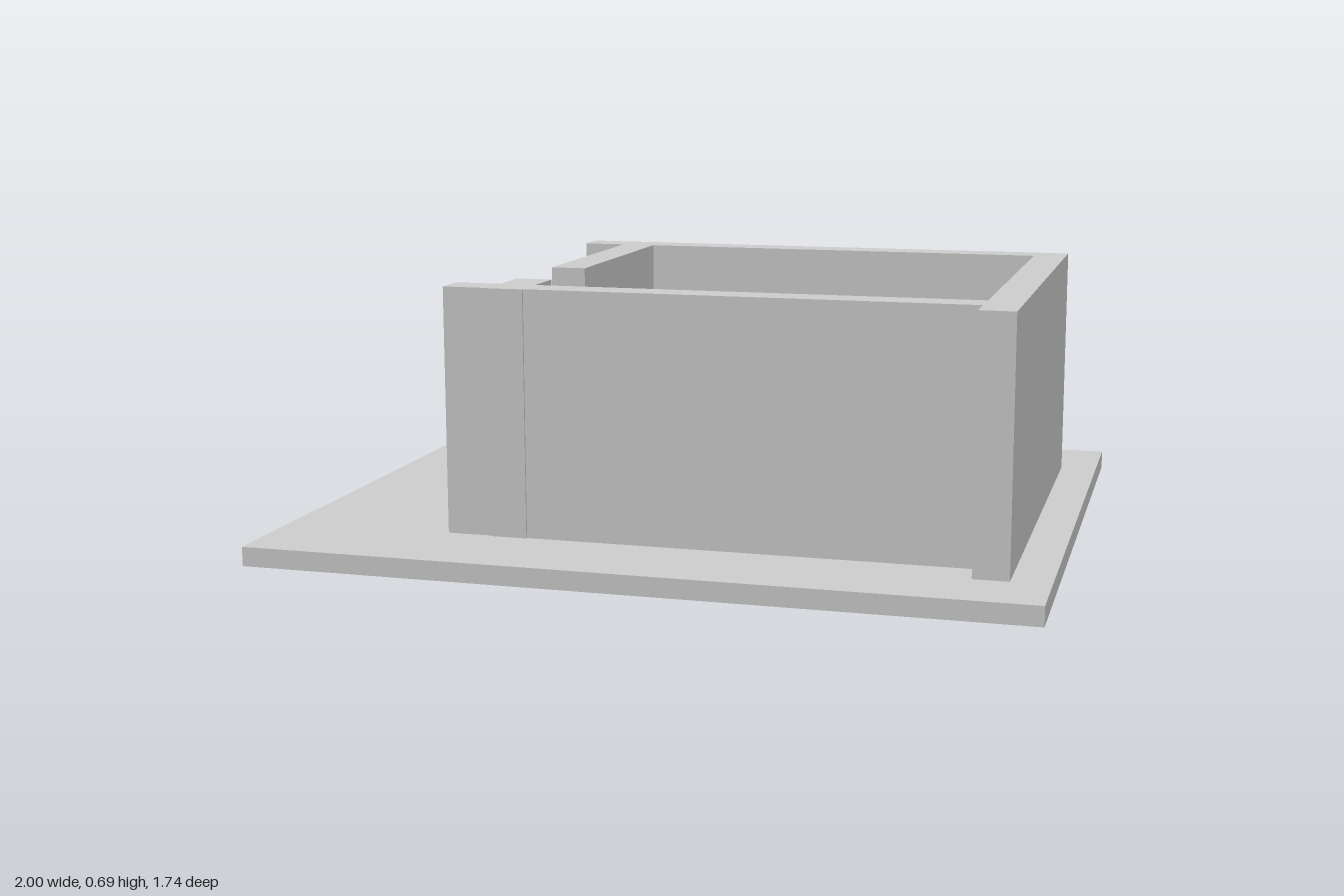
import * as THREE from 'three';

const FLOOR = 0.05, TOP = 0.69;
const material = new THREE.MeshStandardMaterial({ color: 0xcccccc, flatShading: true });

export function createModel() {
  const model = new THREE.Group();

  // Adds a box given by its extents on each axis
  const block = (name, [x0, x1], [z0, z1], y1 = TOP, y0 = FLOOR, parent = model) => {
    const mesh = new THREE.Mesh(new THREE.BoxGeometry(x1 - x0, y1 - y0, z1 - z0), material);
    mesh.position.set((x0 + x1) / 2, (y0 + y1) / 2, (z0 + z1) / 2);
    mesh.name = name;
    parent.add(mesh);
  };

  // Ground slab
  block('groundSlab', [-1, 1], [-0.87, 0.87], FLOOR, 0);

  // Walls, with an open-topped window on the -x side
  const walls = new THREE.Group();
  walls.name = 'walls';
  model.add(walls);
  const wall = (name, x, z, top = TOP) => block(name, x, z, top, FLOOR, walls);
  wall('backWall', [-0.555, 0.81], [-0.605, -0.515]);
  wall('sideWall', [0.81, 0.9], [-0.605, 0.69]);
  wall('frontWall', [-0.34, 0.81], [0.51, 0.6]);
  wall('frontWallEnd', [-0.555, -0.435], [0.51, 0.6]);
  wall('windowWallBack', [-0.435, -0.34], [-0.515, 0.125]);
  wall('windowSill', [-0.435, -0.34], [0.125, 0.39], 0.2);
  wall('windowWallFront', [-0.435, -0.34], [0.39, 0.605]);

  // Furniture
  const furniture = new THREE.Group();
  furniture.name = 'furniture';
  model.add(furniture);
  const item = (name, x, z, top, bottom = FLOOR) => block(name, x, z, top, bottom, furniture);
  item('bed', [-0.335, 0.17], [-0.28, 0.08], 0.15);
  item('nightstand', [-0.32, -0.165], [-0.49, -0.31], 0.26);
  item('couch', [0.595, 0.809], [-0.505, -0.06], 0.17);
  item('bench', [0.315, 0.74], [0.32, 0.485], 0.185);
  item('wallPicture', [0.775, 0.81], [-0.42, -0.155], 0.54, 0.32);
  item('wallCabinet', [0.77, 0.81], [-0.03, 0.175], 0.38);

  // Round stool by the window
  const stool = new THREE.Mesh(new THREE.CylinderGeometry(0.055, 0.055, 0.2, 32), material.clone());
  stool.material.flatShading = false;
  stool.position.set(-0.32, 0.15, 0.255);
  stool.name = 'roundStool';
  furniture.add(stool);

  return model;
}
